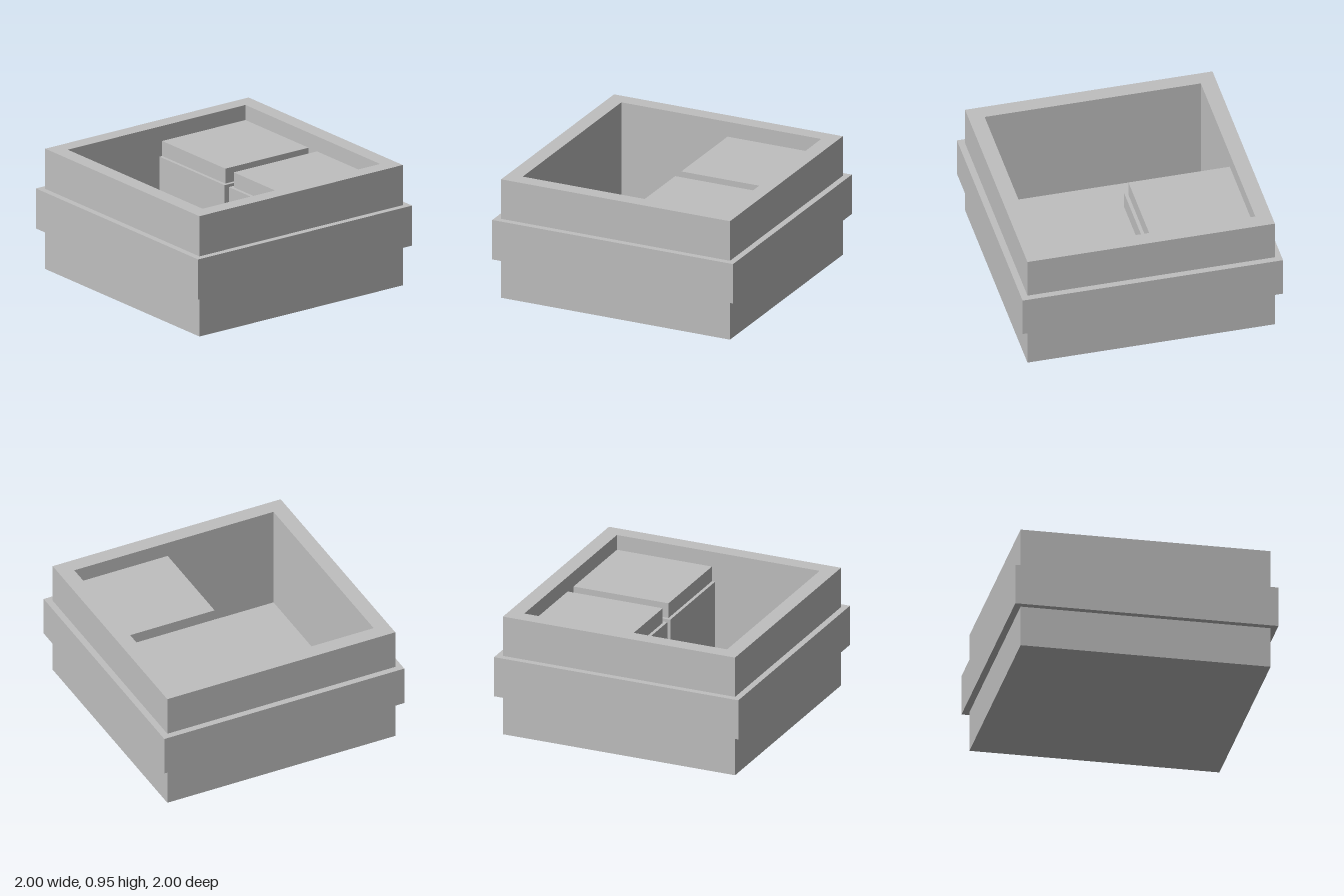
import * as THREE from 'three';

const grey = new THREE.MeshStandardMaterial({ color: 0xbfbfbf });
grey.name = 'grey';

const WALL = 0.83;   // inner half-width of the tub
const FLOOR = 0.12;  // height of the tub floor

// Square tub: half-width / height profile, swept round four sides
function squareTub(profile) {
  const points = profile.map(([r, y]) => new THREE.Vector2(r * Math.SQRT2, y));
  const geometry = new THREE.LatheGeometry(points, 4, Math.PI / 4).toNonIndexed();
  geometry.computeVertexNormals();
  return geometry;
}

// Block filling a back corner, from the gap beside the centre lines to the walls
function cornerBlock(name, side, gap, y0, y1) {
  const size = WALL - gap, mid = (WALL + gap) / 2;
  const mesh = new THREE.Mesh(new THREE.BoxGeometry(size, y1 - y0, size), grey);
  mesh.position.set(side * mid, (y0 + y1) / 2, -mid);
  mesh.name = name;
  return mesh;
}

export function createModel() {
  const model = new THREE.Group();
  model.name = 'squareTub';

  // Outer shell with a raised band round the middle
  const shell = new THREE.Mesh(squareTub([
    [0, 0], [0.95, 0], [0.95, 0.317], [1, 0.317], [1, 0.633], [0.95, 0.633],
    [0.95, 0.95], [WALL, 0.95], [WALL, FLOOR], [0, FLOOR],
  ]), grey);
  shell.name = 'shell';
  model.add(shell);

  // Two seats in the back corners, each a base with a slightly smaller cushion
  for (const side of [-1, 1]) {
    const seat = new THREE.Group();
    seat.name = side > 0 ? 'leftSeat' : 'rightSeat';
    seat.add(
      cornerBlock('seatBase', side, 0.026, FLOOR, 0.713),
      cornerBlock('seatCushion', side, 0.052, 0.713, 0.831),
    );
    model.add(seat);
  }
  return model;
}
